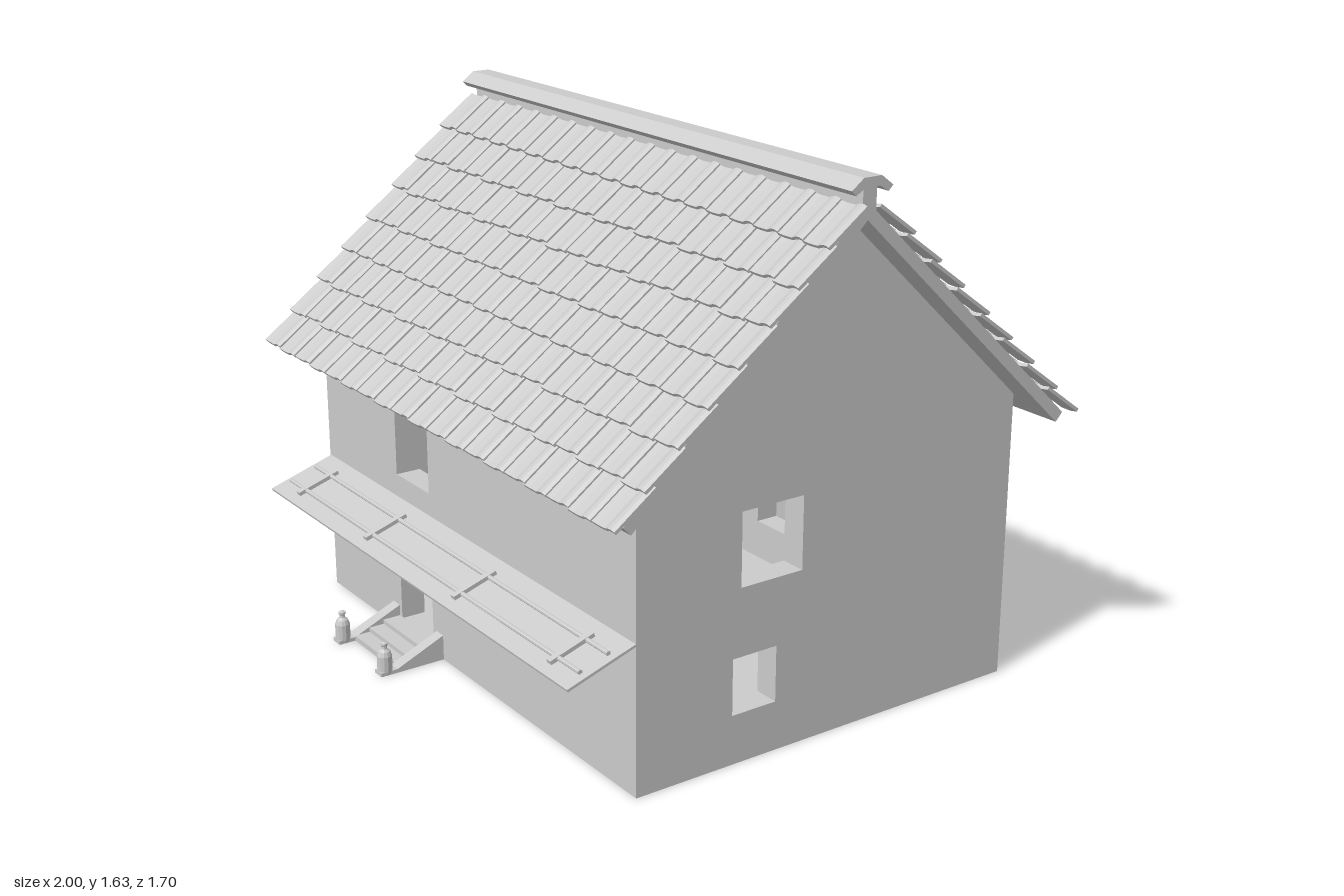
import * as THREE from 'three';
import { mergeGeometries } from 'three/addons/utils/BufferGeometryUtils.js';

const material = new THREE.MeshStandardMaterial({ color: 0xcccccc, flatShading: true, side: THREE.DoubleSide });

function add(parent, name, geometry, x = 0, y = 0, z = 0) {
  const mesh = new THREE.Mesh(geometry, material);
  mesh.name = name;
  mesh.position.set(x, y, z);
  parent.add(mesh);
  return mesh;
}

// box given by its minimum and maximum corners
function block(parent, name, [x0, y0, z0], [x1, y1, z1]) {
  const g = new THREE.BoxGeometry(x1 - x0, y1 - y0, z1 - z0);
  return add(parent, name, g, (x0 + x1) / 2, (y0 + y1) / 2, (z0 + z1) / 2);
}

const polygon = (pts) => new THREE.Shape(pts.map((p) => new THREE.Vector2(...p)));
const extrude = (shape, depth) => new THREE.ExtrudeGeometry(shape, { depth, bevelEnabled: false });

// wall outline with rectangular openings [x0, x1, y0, y1]
function wall(outline, openings, depth) {
  const shape = polygon(outline);
  for (const [a, b, c, d] of openings) {
    shape.holes.push(new THREE.Path([[a, c], [a, d], [b, d], [b, c]].map((p) => new THREE.Vector2(...p))));
  }
  return extrude(shape, depth);
}

const LEFT = 0.875, RIGHT = -0.87, FRONT = 0.63, BACK = -0.7;
const RIDGE_Z = -0.035, RIDGE_Y = 1.56, EAVE = 0.885, T = 0.08;
const PITCH = Math.atan2(0.725, 0.77);

function buildWalls() {
  const house = new THREE.Group();
  house.name = 'walls';
  const long = [[RIGHT + T, 0], [LEFT - T, 0], [LEFT - T, EAVE], [RIGHT + T, EAVE]];
  // the door opening keeps a thin sill at the bottom
  add(house, 'frontWall', wall(long, [[-0.415, -0.215, 0.04, 0.32], [-0.415, -0.215, 0.525, 0.745]], T), 0, 0, FRONT - T);
  add(house, 'backWall', wall(long, [[-0.2, -0.03, 0.15, 0.32]], T), 0, 0, BACK);

  // gable outlines run along -z
  const gable = [[-FRONT, 0], [-BACK, 0], [-BACK, EAVE], [-RIDGE_Z, 1.515], [-FRONT, EAVE]];
  const leftHoles = [[-0.285, -0.075, 0.525, 0.745], [-0.31, -0.16, 0.15, 0.32]];
  const rightHoles = [[0.33, 0.54, 0.525, 0.745], [-0.23, -0.08, 0.15, 0.32]];
  add(house, 'leftGable', wall(gable, leftHoles, T), LEFT - T).rotation.y = Math.PI / 2;
  add(house, 'rightGable', wall(gable, rightHoles, T), RIGHT).rotation.y = Math.PI / 2;
  block(house, 'floor', [RIGHT + T, 0, BACK + T], [LEFT - T, 0.02, FRONT - T]);
  return house;
}

// one roof side: deck plus overlapping wavy tiles, local +z runs down the slope
function buildRoofSide() {
  const side = new THREE.Group();
  block(side, 'roofDeck', [-0.97, -0.035, 0], [0.97, 0, 1.057]);

  const wave = [[0, 0.004], [0.025, 0], [0.06, 0.001], [0.085, 0.012], [0.1, 0.014], [0.11, 0.008]];
  const under = wave.map(([x, y]) => [x, y - 0.01]).reverse();
  const tile = extrude(polygon([...wave, ...under]), 0.155);
  tile.rotateX(-0.13);
  const tiles = [];
  for (let row = 0; row < 8; row++) {
    for (let col = 0; col < 19; col++) {
      const slip = 0.004 * Math.sin(row * 2.3 + col * Math.PI);
      tiles.push(tile.clone().translate(-0.99 + col * 0.1045, 0.012, 0.024 + row * 0.13 + slip));
    }
  }
  add(side, 'roofTiles', mergeGeometries(tiles));
  side.rotation.x = PITCH;
  return side;
}

function buildRoof() {
  const roof = new THREE.Group();
  roof.name = 'roof';
  for (const [name, turn] of [['frontRoof', 0], ['backRoof', Math.PI]]) {
    const half = new THREE.Group();
    half.name = name;
    half.position.set(0, RIDGE_Y, RIDGE_Z);
    half.rotation.y = turn;
    half.add(buildRoofSide());
    roof.add(half);
  }
  // ridge board and folded cap
  block(roof, 'ridgeBoard', [-0.965, 1.53, RIDGE_Z - 0.023], [0.975, 1.61, RIDGE_Z + 0.023]);
  const cap = polygon([[-0.07, 1.6], [-0.03, 1.63], [0.03, 1.63], [0.07, 1.6],
    [0.055, 1.585], [0.025, 1.603], [-0.025, 1.603], [-0.055, 1.585]]);
  add(roof, 'ridgeCap', extrude(cap, 1.96), -0.975, 0, RIDGE_Z).rotation.y = Math.PI / 2;
  return roof;
}

// sloping canopy over the door with two rails and four battens
function buildCanopy() {
  const canopy = new THREE.Group();
  canopy.name = 'canopy';
  canopy.position.set(0.005, 0.449, FRONT);
  canopy.rotation.x = 0.314;
  block(canopy, 'canopyBoard', [-0.87, -0.004, -0.005], [0.87, 0.004, 0.225]);
  for (const z of [0.07, 0.163]) {
    const rail = new THREE.CylinderGeometry(0.007, 0.007, 1.69, 8).rotateZ(Math.PI / 2);
    add(canopy, 'canopyRail', rail, 0, 0.009, z);
  }
  for (const x of [-0.74, -0.29, 0.235, 0.735]) {
    block(canopy, 'canopyBatten', [x - 0.01, -0.014, 0.045], [x + 0.01, 0.016, 0.19]);
  }
  return canopy;
}

// entrance steps between sloping cheeks, each ending in a bottle-shaped post
function buildSteps() {
  const steps = new THREE.Group();
  steps.name = 'entranceSteps';
  steps.position.x = -0.3125;
  [[0.63, 0.69, 0.045], [0.69, 0.74, 0.031], [0.74, 0.79, 0.017]].forEach(([z0, z1, h]) =>
    block(steps, 'step', [-0.117, 0, z0], [0.117, h, z1]));
  const cheek = polygon([[-0.63, 0], [-0.63, 0.08], [-0.79, 0.012], [-0.845, 0.012], [-0.845, 0]]);
  const profile = [[0, 0], [0.021, 0], [0.023, 0.01], [0.023, 0.06], [0.018, 0.074], [0.009, 0.082],
    [0.008, 0.09], [0.011, 0.093], [0.011, 0.1], [0, 0.104]];
  const post = new THREE.LatheGeometry(profile.map((p) => new THREE.Vector2(...p)), 12);
  for (const s of [-1, 1]) {
    add(steps, 'stepCheek', extrude(cheek, 0.04), s * 0.137 - 0.02).rotation.y = Math.PI / 2;
    add(steps, 'stepPost', post, s * 0.137, 0, 0.822);
  }
  return steps;
}

export function createModel() {
  const model = new THREE.Group();
  model.name = 'house';
  model.add(buildWalls(), buildRoof(), buildCanopy(), buildSteps());
  return model;
}
